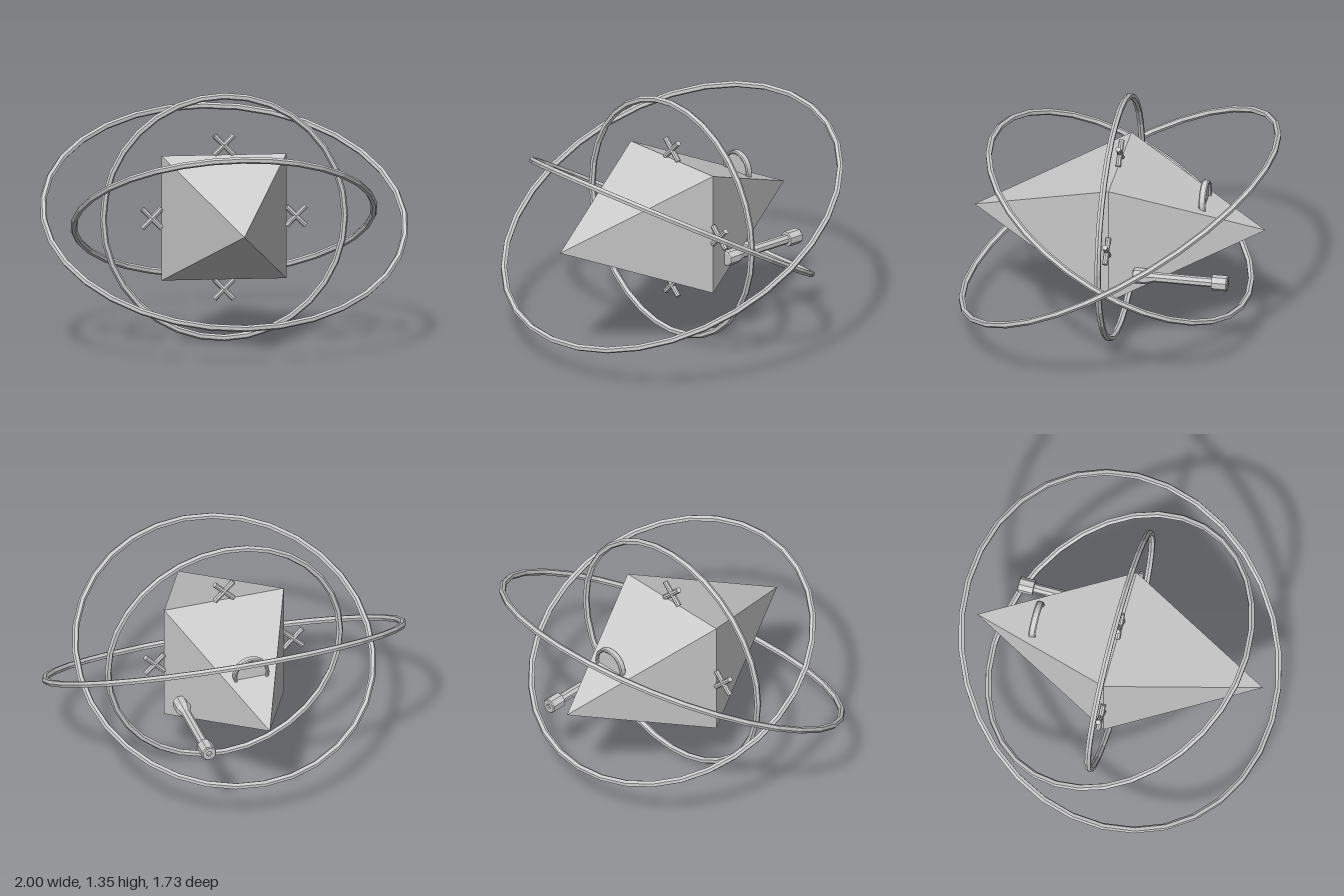
import * as THREE from 'three';

export function createModel() {
  const model = new THREE.Group();
  const core = new THREE.Group();
  core.position.y = 0.679;
  model.add(core);
  const grey = new THREE.MeshStandardMaterial({ color: 0xcccccc });
  grey.name = 'light grey';

  // Faceted mesh with a name
  function add(name, geometry, parent = core) {
    const flat = geometry.index ? geometry.toNonIndexed() : geometry;
    flat.computeVertexNormals();
    const mesh = new THREE.Mesh(flat, grey);
    mesh.name = name;
    parent.add(mesh);
    return mesh;
  }

  // Long eight-sided crystal: square waist, points at front and back
  const crystal = new THREE.OctahedronGeometry(1, 0);
  crystal.rotateZ(Math.PI / 4);
  crystal.scale(0.34 * Math.SQRT2, 0.34 * Math.SQRT2, 0.8);
  add('crystalBody', crystal);

  // Three orbit rings: one upright, two tilted opposite ways
  const tube = 0.018;
  [
    ['uprightRing', 0.659, 0],
    ['outerRing', 0.982, -Math.PI / 3],
    ['middleRing', 0.815, Math.PI / 3],
  ].forEach(([name, radius, tilt]) => {
    add(name, new THREE.TorusGeometry(radius, tube, 6, 32)).rotation.x = tilt;
  });

  // Small crosses on the four sides of the waist
  for (let i = 0; i < 4; i++) {
    const cross = new THREE.Group();
    cross.name = 'cross' + (i + 1);
    const a = (i * Math.PI) / 2;
    cross.position.set(0.393 * Math.cos(a), 0.393 * Math.sin(a), 0);
    for (const s of [-1, 1]) {
      const bar = add('crossBar', new THREE.CylinderGeometry(0.015, 0.015, 0.15, 8), cross);
      bar.rotation.z = (s * Math.PI) / 4;
    }
    core.add(cross);
  }

  // Torch lying along z: flared head in front, thick cap with a small recess behind
  const profile = [
    [0, 0.128], [0.036, 0.128], [0.043, 0.132], [0.043, 0.2], [0.027, 0.245],
    [0.027, 0.56], [0.043, 0.562], [0.043, 0.642], [0.038, 0.648],
    [0.016, 0.648], [0.016, 0.635], [0, 0.635],
  ].map(([r, h]) => new THREE.Vector2(r, h));
  const torch = new THREE.LatheGeometry(profile, 8);
  torch.rotateY(Math.PI / 8);
  torch.rotateX(-Math.PI / 2);
  add('torch', torch).position.set(0.294, -0.187, 0);

  // Round dial half sunk into the upper back face: rim band and inner disc
  const dial = new THREE.Group();
  dial.name = 'dial';
  dial.position.set(0, 0.162, -0.468);
  const rimProfile = [
    [0.084, -0.015], [0.089, -0.019], [0.096, -0.019], [0.101, -0.013],
    [0.101, 0.013], [0.096, 0.019], [0.089, 0.019], [0.084, 0.015], [0.084, -0.015],
  ].map(([r, h]) => new THREE.Vector2(r, h));
  const rim = new THREE.LatheGeometry(rimProfile, 24);
  rim.rotateX(Math.PI / 2);
  add('dialRim', rim, dial);
  const disc = new THREE.CylinderGeometry(0.086, 0.086, 0.012, 24);
  disc.rotateX(Math.PI / 2);
  add('dialDisc', disc, dial);
  core.add(dial);

  return model;
}
